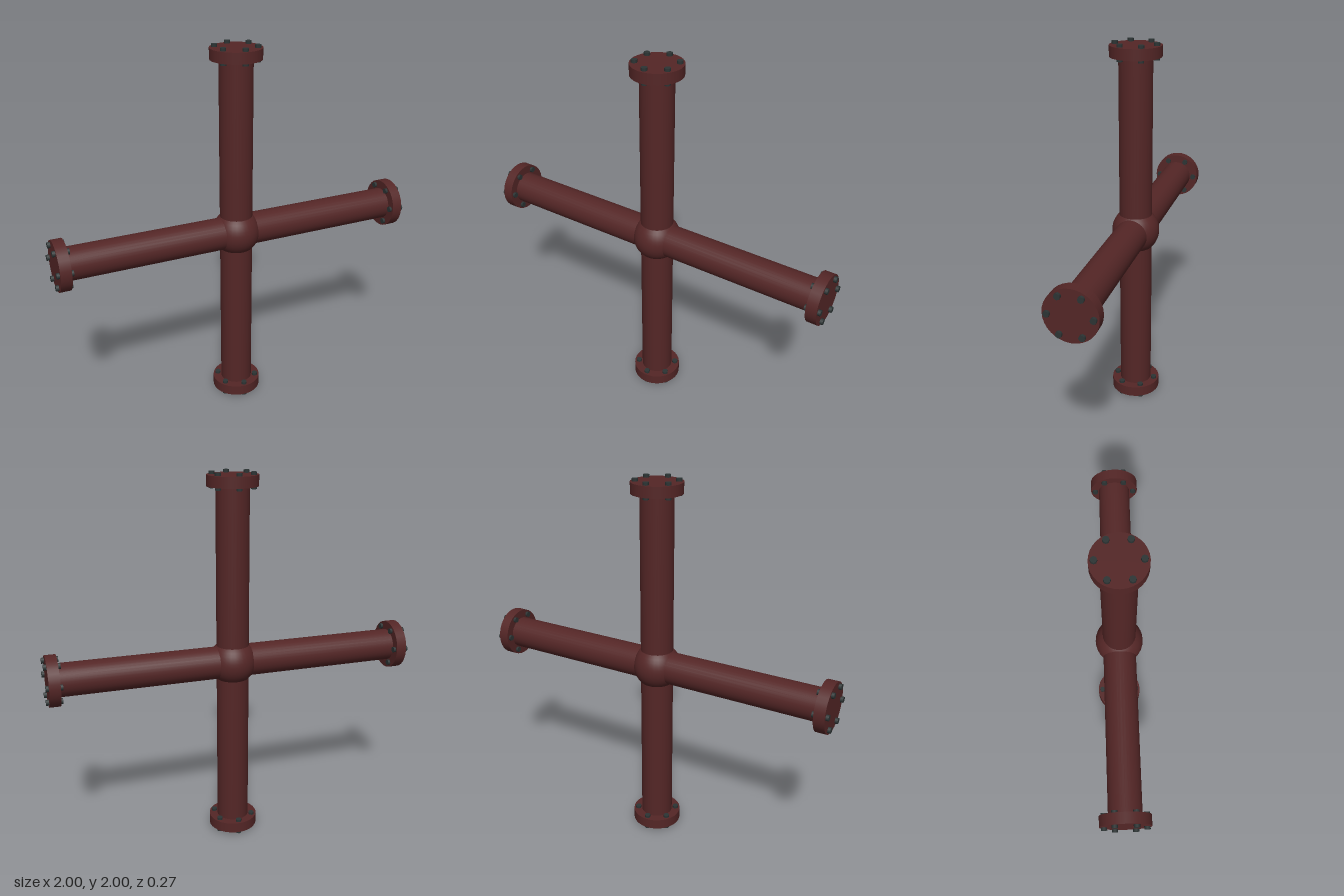
import * as THREE from 'three';

export function createModel() {
  const paint = new THREE.MeshStandardMaterial({ color: 0x542626 });
  paint.name = 'oxide red paint';
  const steel = new THREE.MeshStandardMaterial({ color: 0x2c3434 });
  steel.name = 'dark steel';

  const pipeGeo = new THREE.CylinderGeometry(0.087, 0.087, 0.95, 32);
  const flangeGeo = new THREE.CylinderGeometry(0.133, 0.133, 0.057, 32);
  const boltGeo = new THREE.CylinderGeometry(0.016, 0.016, 0.085, 8);

  function add(parent, name, geo, mat, x, y, z) {
    const mesh = new THREE.Mesh(geo, mat);
    mesh.name = name;
    mesh.position.set(x, y, z);
    parent.add(mesh);
    return mesh;
  }

  const model = new THREE.Group();
  model.name = 'pipeCross';

  // Ball joint where the four pipes meet
  add(model, 'hub', new THREE.SphereGeometry(0.127, 32, 20), paint, 0, 1, 0);

  // Four identical arms: pipe, end flange and a ring of six bolts
  ['topArm', 'rightArm', 'bottomArm', 'leftArm'].forEach((name, i) => {
    const arm = new THREE.Group();
    arm.name = name;
    arm.position.y = 1;
    arm.rotation.z = i * Math.PI / 2;
    add(arm, 'pipe', pipeGeo, paint, 0, 0.475, 0);
    add(arm, 'flange', flangeGeo, paint, 0, 0.9565, 0);
    for (let k = 0; k < 6; k++) {
      const a = k * Math.PI / 3;
      add(arm, 'bolt', boltGeo, steel, 0.108 * Math.sin(a), 0.9575, 0.108 * Math.cos(a));
    }
    model.add(arm);
  });

  return model;
}
